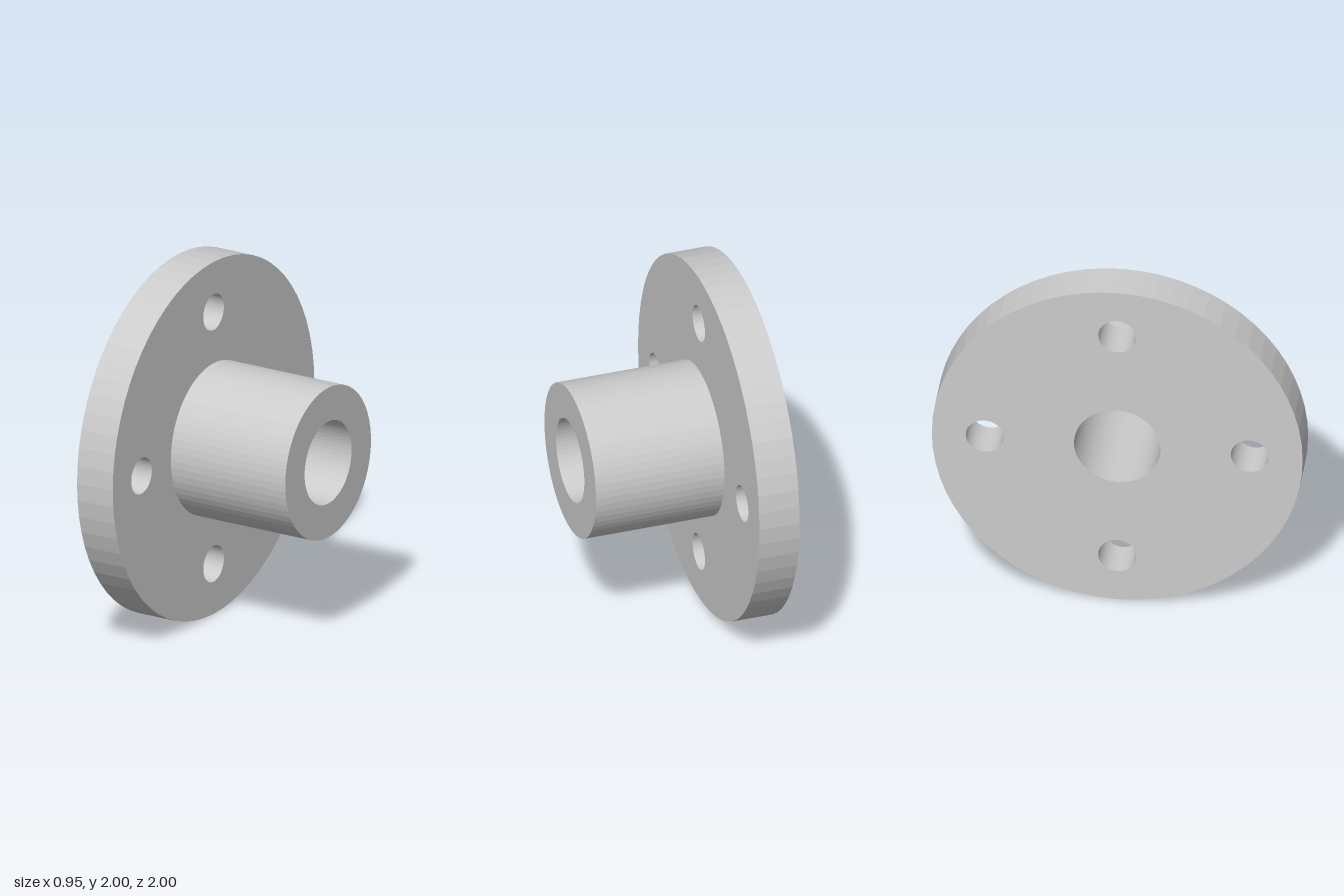
import * as THREE from 'three';

const SEG = 64;
const BACK = -0.477, STEP = -0.25, FRONT = 0.477; // stations along the x axis
const FLANGE_R = 1, HUB_R = 0.425, BORE_R = 0.233;
const BOLT_R = 0.102, BOLT_CIRCLE = 0.715;

const boltCentres = [0, 1, 2, 3].map((i) => {
  const a = (i * Math.PI) / 2;
  return [BOLT_CIRCLE * Math.cos(a), BOLT_CIRCLE * Math.sin(a)]; // [z, y]
});

export function createModel() {
  const material = new THREE.MeshStandardMaterial({ color: 0xcccccc, flatShading: true });

  const part = (name, geometry, parent) => {
    const mesh = new THREE.Mesh(geometry, material);
    mesh.name = name;
    parent.add(mesh);
    return mesh;
  };

  // Surface turned about the x axis from [radius, x] points; rising x faces outward
  const turned = (points) =>
    new THREE.LatheGeometry(points.map(([r, x]) => new THREE.Vector2(r, x)), SEG).rotateZ(-Math.PI / 2);

  // Flat flange face with a centre opening and bolt openings, facing +x or -x
  const face = (opening, x, direction) => {
    const shape = new THREE.Shape().absarc(0, 0, FLANGE_R, 0, Math.PI * 2);
    const cut = (z, y, r) => shape.holes.push(new THREE.Path().absarc(z, y, r, 0, Math.PI * 2, true));
    cut(0, 0, opening);
    boltCentres.forEach(([z, y]) => cut(z, y, BOLT_R));
    return new THREE.ShapeGeometry(shape, SEG / 2).rotateY((direction * Math.PI) / 2).translate(x, 0, 0);
  };

  const model = new THREE.Group();
  model.name = 'flangedHub';

  // Flange: rim, two faces and the bolt hole walls
  const flange = new THREE.Group();
  flange.name = 'flange';
  model.add(flange);
  part('flangeRim', turned([[FLANGE_R, BACK], [FLANGE_R, STEP]]), flange);
  part('flangeHubFace', face(HUB_R, STEP, 1), flange);
  part('flangeBackFace', face(BORE_R, BACK, -1), flange);
  boltCentres.forEach(([z, y]) => {
    part('boltHole', turned([[BOLT_R, STEP], [BOLT_R, BACK]]), flange).position.set(0, y, z);
  });

  // Hub: outer wall, end ring, then the bore running right through the flange
  part('hub', turned([[HUB_R, STEP], [HUB_R, FRONT], [BORE_R, FRONT], [BORE_R, BACK]]), model);

  // Stand the rim on the ground
  model.position.y = FLANGE_R;
  return model;
}
